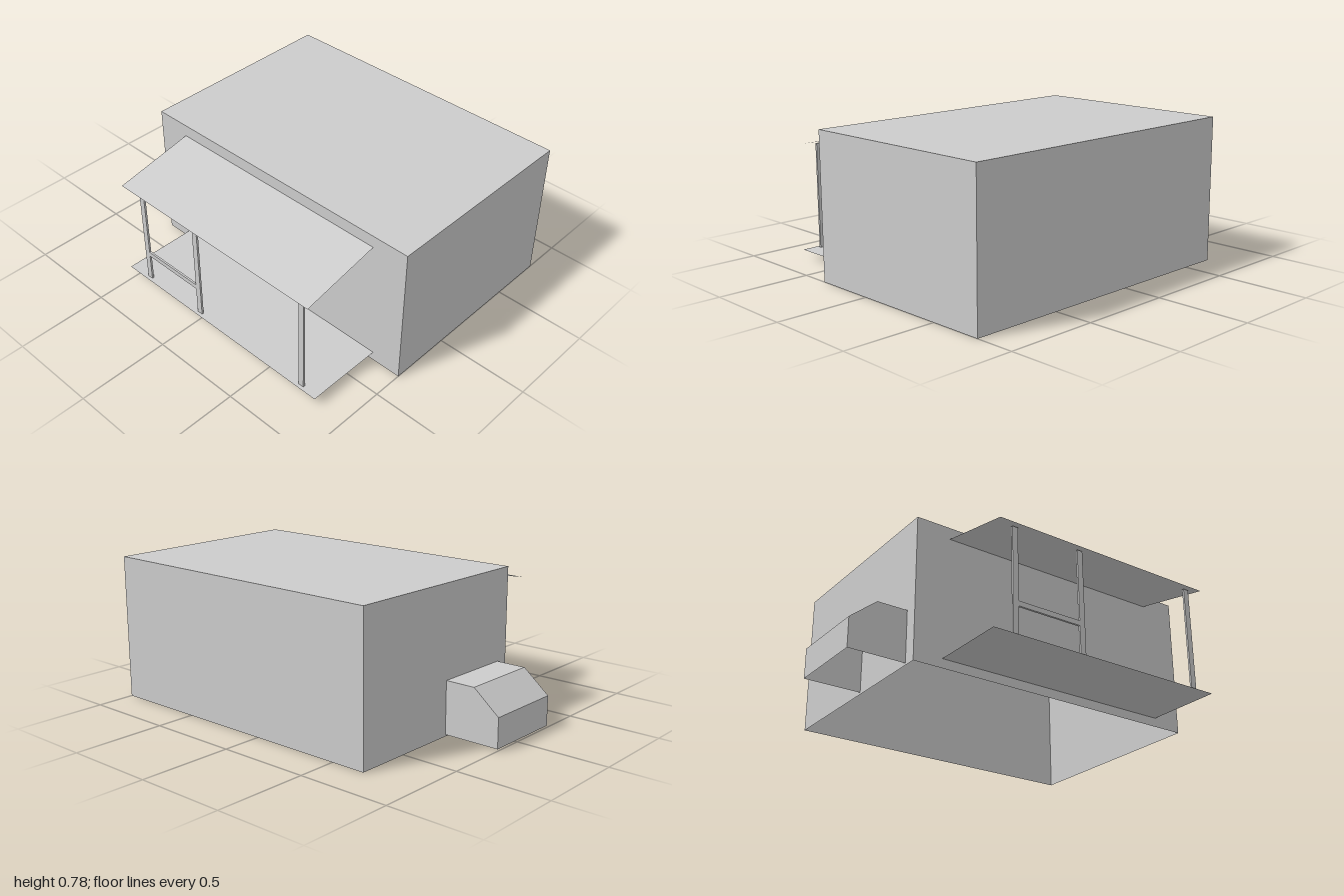
import * as THREE from 'three';

// Everything is plain sheet-like massing, so one two-sided material serves all parts.
const grey = new THREE.MeshStandardMaterial({ color: 0xcccccc, side: THREE.DoubleSide });

function part(geometry, name, x = 0, y = 0, z = 0) {
  const mesh = new THREE.Mesh(geometry, grey);
  mesh.name = name;
  mesh.position.set(x, y, z);
  return mesh;
}

// Box given by its limits on each axis.
function block(name, [x0, x1], [y0, y1], [z0, z1]) {
  const geometry = new THREE.BoxGeometry(x1 - x0, y1 - y0, z1 - z0);
  return part(geometry, name, (x0 + x1) / 2, (y0 + y1) / 2, (z0 + z1) / 2);
}

// Flat-faced sheet: a polyline of [x, y, z] edges swept by a vector.
function sheet(name, line, [dx, dy, dz]) {
  const positions = [];
  for (let i = 0; i < line.length - 1; i++) {
    const a = line[i], b = line[i + 1];
    const c = [b[0] + dx, b[1] + dy, b[2] + dz];
    const d = [a[0] + dx, a[1] + dy, a[2] + dz];
    positions.push(...a, ...b, ...c, ...a, ...c, ...d);
  }
  const geometry = new THREE.BufferGeometry();
  geometry.setAttribute('position', new THREE.Float32BufferAttribute(positions, 3));
  geometry.computeVertexNormals();
  return part(geometry, name);
}

export function createModel() {
  const model = new THREE.Group();
  model.name = 'house';

  // Main body: four walls and a flat roof, open underneath
  const body = block('mainBody', [-0.69, 1], [0, 0.78], [-0.79, 0.34]);
  const index = Array.from(body.geometry.index.array);
  index.splice(18, 6);
  body.geometry.setIndex(index);
  body.geometry.clearGroups();
  model.add(body);

  // Side annex with a sloped front, open underneath and towards the house
  const annex = new THREE.Group();
  annex.name = 'sideAnnex';
  const outline = [[-1, 0.01], [-1, 0.17], [-0.855, 0.29], [-0.68, 0.29]];
  annex.add(sheet('annexRoof', outline.map(([x, y]) => [x, y, 0.27]), [0, 0, -0.44]));
  const side = new THREE.Shape([...outline, [-0.68, 0.01]].map(([x, y]) => new THREE.Vector2(x, y)));
  for (const [name, z] of [['annexFrontWall', 0.27], ['annexBackWall', -0.17]]) {
    annex.add(part(new THREE.ShapeGeometry(side), name, 0, 0, z));
  }
  model.add(annex);

  // Porch: thin floor and sloping awning, both running slightly into the wall
  const porch = new THREE.Group();
  porch.name = 'porch';
  porch.add(sheet('porchFloor', [[-0.53, 0.05, 0.31], [-0.53, 0.05, 0.765]], [1.365, 0, 0]));
  porch.add(sheet('awning', [[-0.5, 0.721, 0.31], [-0.5, 0.625, 0.78]], [1.3, 0, 0]));

  // Flat posts and the rail between the two on the right
  for (const x of [-0.39, 0.005, 0.727]) {
    porch.add(block('porchPost', [x - 0.016, x + 0.016], [0.05, 0.625], [0.735, 0.746]));
  }
  porch.add(block('porchRail', [-0.374, -0.011], [0.207, 0.234], [0.735, 0.746]));
  model.add(porch);

  return model;
}
